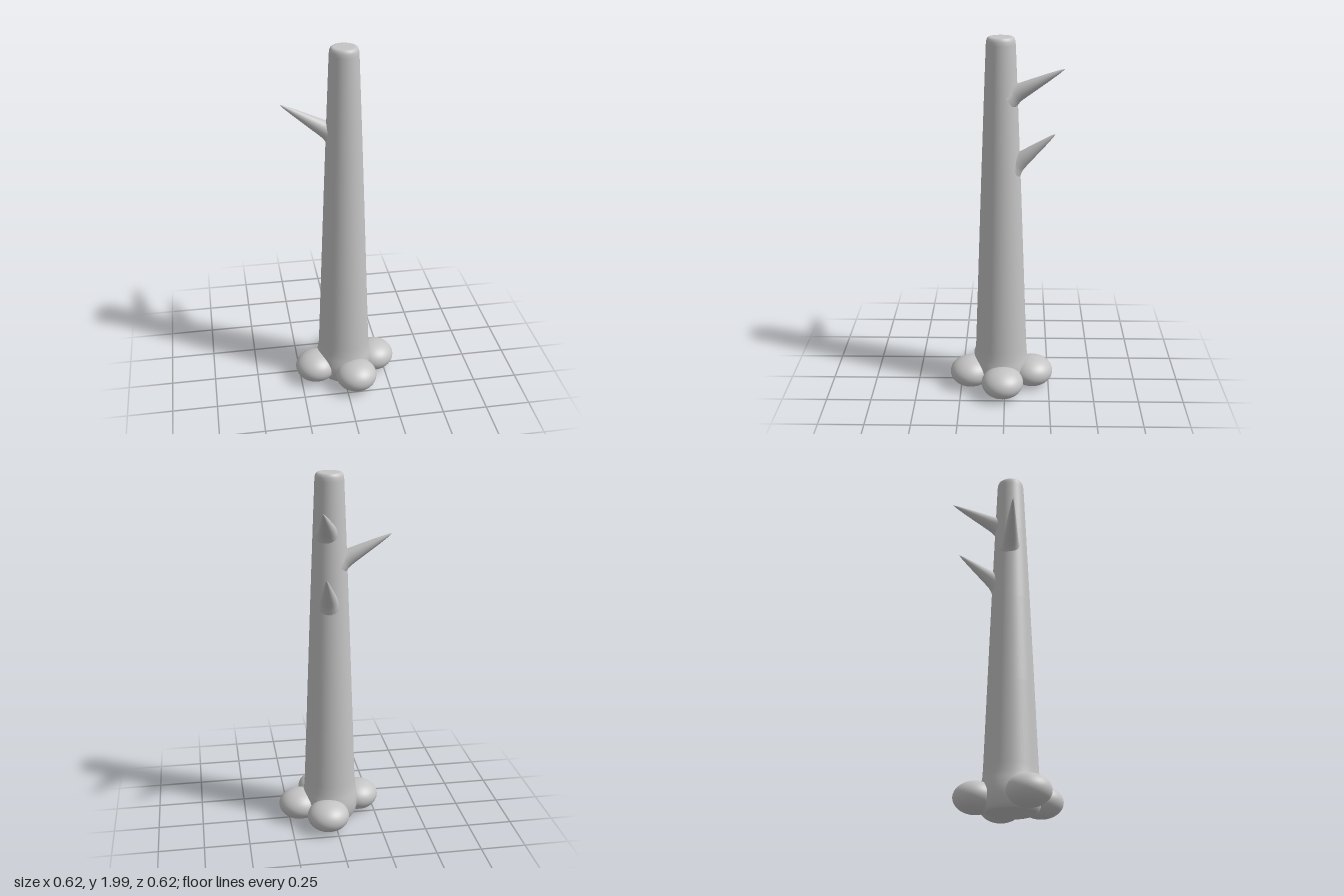
import * as THREE from 'three';

const bark = new THREE.MeshStandardMaterial({ color: 0xc4c4c4 });
bark.name = 'pale grey';

// Smooth turned solid from [radius, height] pairs, bottom to top
function turned(name, profile, segments) {
  const points = profile.map(([r, y]) => new THREE.Vector2(r, y));
  const mesh = new THREE.Mesh(new THREE.LatheGeometry(points, segments), bark);
  mesh.name = name;
  return mesh;
}

// Tapering spike that flares where it leaves the trunk
function branch(name, base, tip) {
  const from = new THREE.Vector3(...base);
  const dir = new THREE.Vector3(...tip).sub(from);
  const length = dir.length();
  const mesh = turned(name, [
    [0.068, -0.035], [0.055, -0.012], [0.047, 0.01], [0.042, 0.04],
    [0.031, length * 0.4], [0.018, length * 0.7], [0.007, length * 0.92], [0, length],
  ], 24);
  mesh.position.copy(from);
  mesh.quaternion.setFromUnitVectors(new THREE.Vector3(0, 1, 0), dir.normalize());
  return mesh;
}

export function createModel() {
  const model = new THREE.Group();
  model.name = 'bareTree';

  // Trunk: flat foot, soft web between the roots, long straight taper, rounded rim
  const trunk = turned('trunk', [
    [0, 0.014], [0.125, 0.014], [0.137, 0.018], [0.15, 0.04], [0.162, 0.085],
    [0.16, 0.13], [0.152, 0.17], [0.147, 0.2], [0.144, 0.25], [0.127, 0.7],
    [0.108, 1.2], [0.09, 1.65], [0.077, 1.96], [0.075, 1.98], [0.07, 1.993],
    [0.062, 1.999], [0.054, 2], [0, 2],
  ], 48);
  trunk.position.set(0.011, 0, 0.022);
  model.add(trunk);

  // Four bulging roots, as flattened balls around the foot
  const roots = [
    ['leftRoot', 0.19, 0.012], ['frontRoot', 0.057, 0.195],
    ['rightRoot', -0.161, 0.07], ['backRoot', 0.046, -0.156],
  ];
  for (const [name, x, z] of roots) {
    const root = new THREE.Mesh(new THREE.SphereGeometry(1, 36, 24), bark);
    root.name = name;
    root.scale.set(0.117, 0.084, 0.117);
    root.position.set(x, 0.093, z);
    model.add(root);
  }

  // Three broken-off branches
  model.add(
    branch('rightBranch', [-0.07, 1.545, 0], [-0.312, 1.685, -0.046]),
    branch('upperBackBranch', [0.035, 1.71, -0.055], [0.092, 1.85, -0.305]),
    branch('lowerBackBranch', [0.028, 1.335, -0.065], [0.07, 1.505, -0.265]),
  );

  return model;
}
